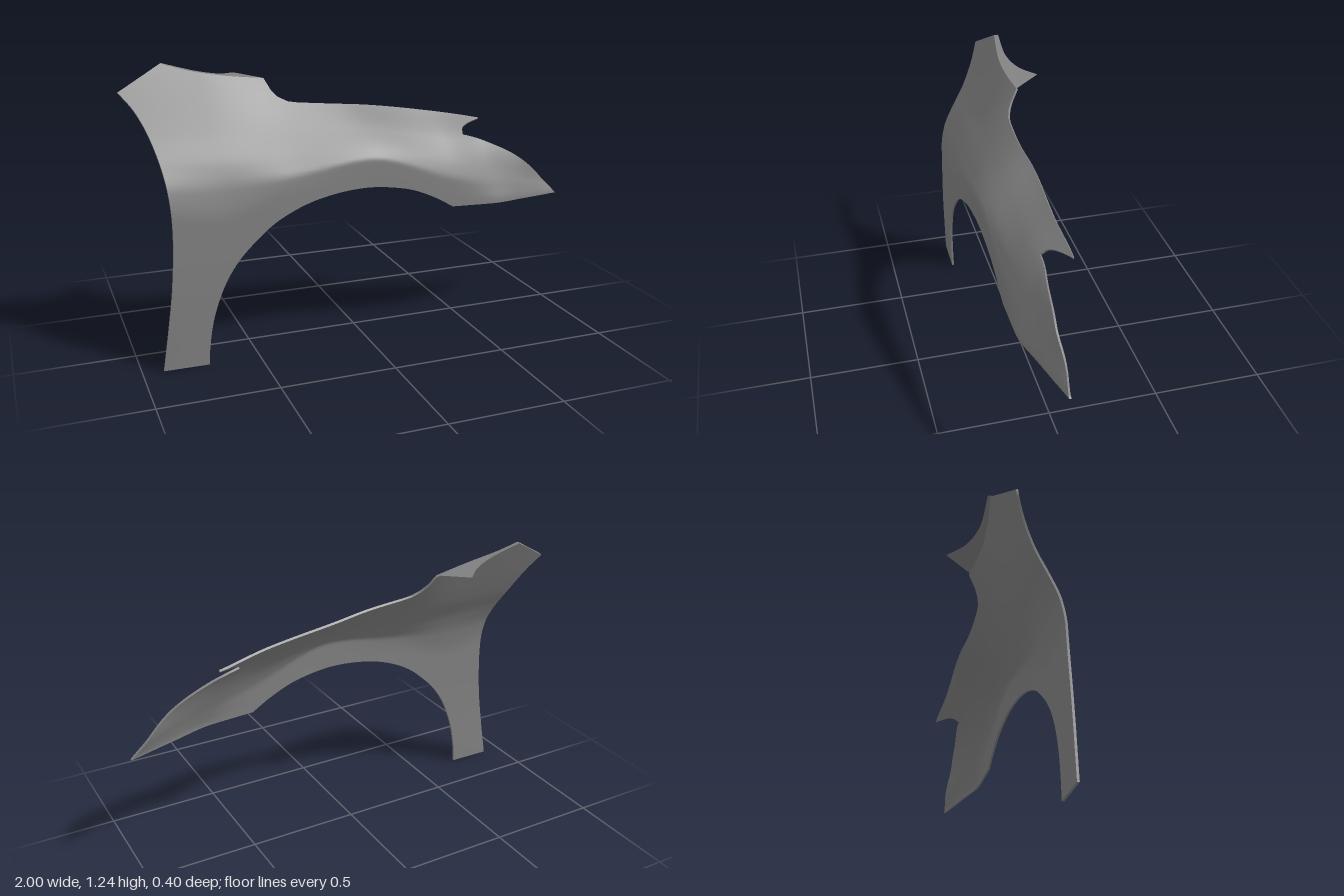
import * as THREE from 'three';
import { mergeVertices } from 'three/addons/utils/BufferGeometryUtils.js';

const THICK = 0.01;

// Smooth monotone interpolation through (xs, vs), straight beyond the ends
function smooth(xs, vs, x) {
  const last = xs.length - 1;
  const slope = i => (vs[i + 1] - vs[i]) / (xs[i + 1] - xs[i]);
  const tangent = i => {
    if (i === 0) return slope(0);
    if (i === last) return slope(last - 1);
    const a = slope(i - 1), b = slope(i);
    return a * b <= 0 ? 0 : (2 * a * b) / (a + b);
  };
  if (x <= xs[0]) return vs[0] + (x - xs[0]) * slope(0);
  if (x >= xs[last]) return vs[last] + (x - xs[last]) * slope(last - 1);
  let i = 0;
  while (x > xs[i + 1]) i++;
  const h = xs[i + 1] - xs[i], t = (x - xs[i]) / h, t2 = t * t, t3 = t2 * t;
  return (2 * t3 - 3 * t2 + 1) * vs[i] + (t3 - 2 * t2 + t) * h * tangent(i) +
    (3 * t2 - 2 * t3) * vs[i + 1] + (t3 - t2) * h * tangent(i + 1);
}

// Cross-sections of the panel: x, heights, depths; the flare follows the arch
const sections = [
  [-1, [0, 0.4, 0.7, 0.78, 0.86, 0.96, 1.24], [0.188, 0.2, 0.195, 0.178, 0.13, 0.065, -0.075]],
  [-0.65, [0, 0.4, 0.62, 0.74, 0.84, 0.96, 1.24], [0.193, 0.2, 0.197, 0.178, 0.14, 0.065, -0.085]],
  [-0.35, [0, 0.4, 0.7, 0.77, 0.83, 0.96, 1.16], [0.193, 0.2, 0.195, 0.188, 0.155, 0.06, -0.09]],
  [0, [0, 0.4, 0.7, 0.82, 0.85, 0.94, 1.03], [0.19, 0.195, 0.19, 0.187, 0.168, 0.08, -0.025]],
  [0.4, [0, 0.4, 0.57, 0.69, 0.75, 0.86, 0.965], [0.18, 0.18, 0.182, 0.178, 0.158, 0.085, -0.025]],
  [0.6, [0, 0.4, 0.57, 0.64, 0.7, 0.83, 0.92], [0.18, 0.18, 0.178, 0.162, 0.138, 0.065, -0.035]],
  [0.8, [0, 0.4, 0.56, 0.61, 0.65, 0.75, 0.85], [0.13, 0.13, 0.13, 0.118, 0.103, 0.07, 0]],
  [1, [0, 0.4, 0.55, 0.575, 0.6, 0.65, 0.7], [0.075, 0.075, 0.075, 0.065, 0.05, 0.02, -0.02]],
];
const stations = sections.map(s => s[0]);
function depth(x, y) {
  const at = (col, k) => smooth(stations, sections.map(s => s[col][k]), x);
  const knots = [0, 1, 2, 3, 4, 5, 6];
  return smooth(knots.map(k => at(1, k)), knots.map(k => at(2, k)), y);
}

// Point on the outer skin and its normal
function skin({ x, y }) {
  const e = 0.012;
  const p = new THREE.Vector3(x, y, depth(x, y));
  const n = new THREE.Vector3(
    (depth(x - e, y) - depth(x + e, y)) / (2 * e),
    (depth(x, y - e) - depth(x, y + e)) / (2 * e), 1).normalize();
  return { p, n };
}

const curve = pts => {
  const c = new THREE.SplineCurve(pts.map(p => new THREE.Vector2(...p)));
  return t => c.getPointAt(t);
};
const line = (a, b) => t => new THREE.Vector2(...a).lerp(new THREE.Vector2(...b), t);
// Join curves end to end, each ending at its own break value
const chain = (fns, ends) => t => {
  let i = 0;
  while (i < fns.length - 1 && t > ends[i] + 1e-9) i++;
  const start = i ? ends[i - 1] : 0;
  return fns[i](Math.min(1, Math.max(0, (t - start) / (ends[i] - start))));
};

function gridIndex(nu, nv, base, flip, out) {
  for (let i = 0; i < nu; i++) for (let j = 0; j < nv; j++) {
    const a = base + i * (nv + 1) + j, b = a + nv + 1;
    if (flip) out.push(a, a + 1, b, b, a + 1, b + 1);
    else out.push(a, b, a + 1, b, b + 1, a + 1);
  }
}

function meshFrom(name, pos, nor, idx, side = THREE.FrontSide) {
  let g = new THREE.BufferGeometry();
  g.setAttribute('position', new THREE.Float32BufferAttribute(pos, 3));
  g.setIndex(idx);
  if (nor) {
    g.setAttribute('normal', new THREE.Float32BufferAttribute(nor, 3));
    g = mergeVertices(g);
  } else g.computeVertexNormals();
  const mesh = new THREE.Mesh(g, new THREE.MeshStandardMaterial({ color: 0x818181, side }));
  mesh.name = name;
  return mesh;
}

// Two-sided sheet of patches, each ruled between a lower and an upper edge
function panel(name, patches) {
  const pos = [], nor = [], idx = [];
  for (const [lower, upper, nu, nv] of patches) {
    const samples = [];
    for (let i = 0; i <= nu; i++) {
      const a = lower(i / nu), b = upper(i / nu);
      for (let j = 0; j <= nv; j++) samples.push(skin(a.clone().lerp(b, j / nv)));
    }
    for (const inner of [false, true]) {
      gridIndex(nu, nv, pos.length / 3, inner, idx);
      for (const { p, n } of samples) {
        pos.push(...p.clone().addScaledVector(n, inner ? -THICK : 0));
        nor.push(...n.clone().multiplyScalar(inner ? -1 : 1));
      }
    }
  }
  return meshFrom(name, pos, nor, idx);
}

// Narrow wall closing the sheet along an edge
function rim(name, edge, n) {
  const pos = [], idx = [];
  for (let i = 0; i <= n; i++) {
    const s = skin(edge(i / n));
    pos.push(...s.p, ...s.p.clone().addScaledVector(s.n, -THICK));
  }
  gridIndex(n, 1, 0, false, idx);
  return meshFrom(name, pos, null, idx, THREE.DoubleSide);
}

export function createModel() {
  const group = new THREE.Group();
  group.name = 'fender';

  // Edges of the body behind the lamp notch
  const arch = curve([[-0.72, 0], [-0.715, 0.08], [-0.695, 0.2], [-0.655, 0.32], [-0.6, 0.42],
    [-0.52, 0.51], [-0.4, 0.605], [-0.23, 0.675], [-0.02, 0.703], [0.17, 0.68], [0.3, 0.632],
    [0.405, 0.573]]);
  const rear = curve([[-0.912, 0], [-0.885, 0.18], [-0.86, 0.375], [-0.847, 0.59], [-0.857, 0.78],
    [-0.89, 0.94], [-0.94, 1.06], [-1, 1.14]]);
  const fold = curve([[-0.815, 1.24], [-0.7, 1.205], [-0.55, 1.177], [-0.38, 1.155]]);
  const step = curve([[-0.38, 1.155], [-0.358, 1.105], [-0.31, 1.065], [-0.25, 1.052]]);
  const hood = curve([[-0.25, 1.052], [0, 1.027], [0.2, 1.0], [0.4, 0.967], [0.535, 0.94]]);
  const top = chain([rear, line([-1, 1.14], [-0.815, 1.24]), fold, step, hood],
    [0.44, 0.5, 0.62, 0.66, 1]);

  // Nose and upper horn share the body's last column, split 32 : 8 at the notch
  const notch = [0.509, 0.8666];
  const sill = line([0.405, 0.573], [0.995, 0.55]);
  const lamp = curve([notch, [0.56, 0.852], [0.63, 0.825], [0.755, 0.765], [0.86, 0.69],
    [0.935, 0.615], [1, 0.55]]);
  const hornLow = curve([notch, [0.52, 0.89], [0.56, 0.904], [0.632, 0.915]]);
  const hornTop = line([0.535, 0.94], [0.632, 0.918]);
  group.add(panel('fenderPanel', [
    [arch, top, 100, 40], [sill, lamp, 50, 32], [hornLow, hornTop, 14, 8]]));

  const edges = {
    archRim: arch, topRim: top, sillRim: sill, lampRim: lamp, hornLowerRim: hornLow,
    hornUpperRim: hornTop, footRim: line([-0.72, 0], [-0.912, 0]),
    noseTipRim: line([0.995, 0.55], [1, 0.55]), hornTipRim: line([0.632, 0.915], [0.632, 0.918]),
  };
  for (const [name, edge] of Object.entries(edges)) group.add(rim(name, edge, 100));

  // Mounting flange folded back from the upper edge
  const flangeEdge = new THREE.CatmullRomCurve3([[-0.815, 1.24, -0.1], [-0.66, 1.197, -0.1],
    [-0.56, 1.176, -0.135], [-0.48, 1.166, -0.205]].map(p => new THREE.Vector3(...p)));
  const pos = [], idx = [];
  for (let i = 0; i <= 30; i++) {
    const a = skin(fold(i / 30)).p, b = flangeEdge.getPointAt(i / 30);
    for (let j = 0; j <= 4; j++) pos.push(...a.clone().lerp(b, j / 4));
  }
  gridIndex(30, 4, 0, false, idx);
  group.add(meshFrom('mountingFlange', pos, null, idx, THREE.DoubleSide));

  return group;
}
